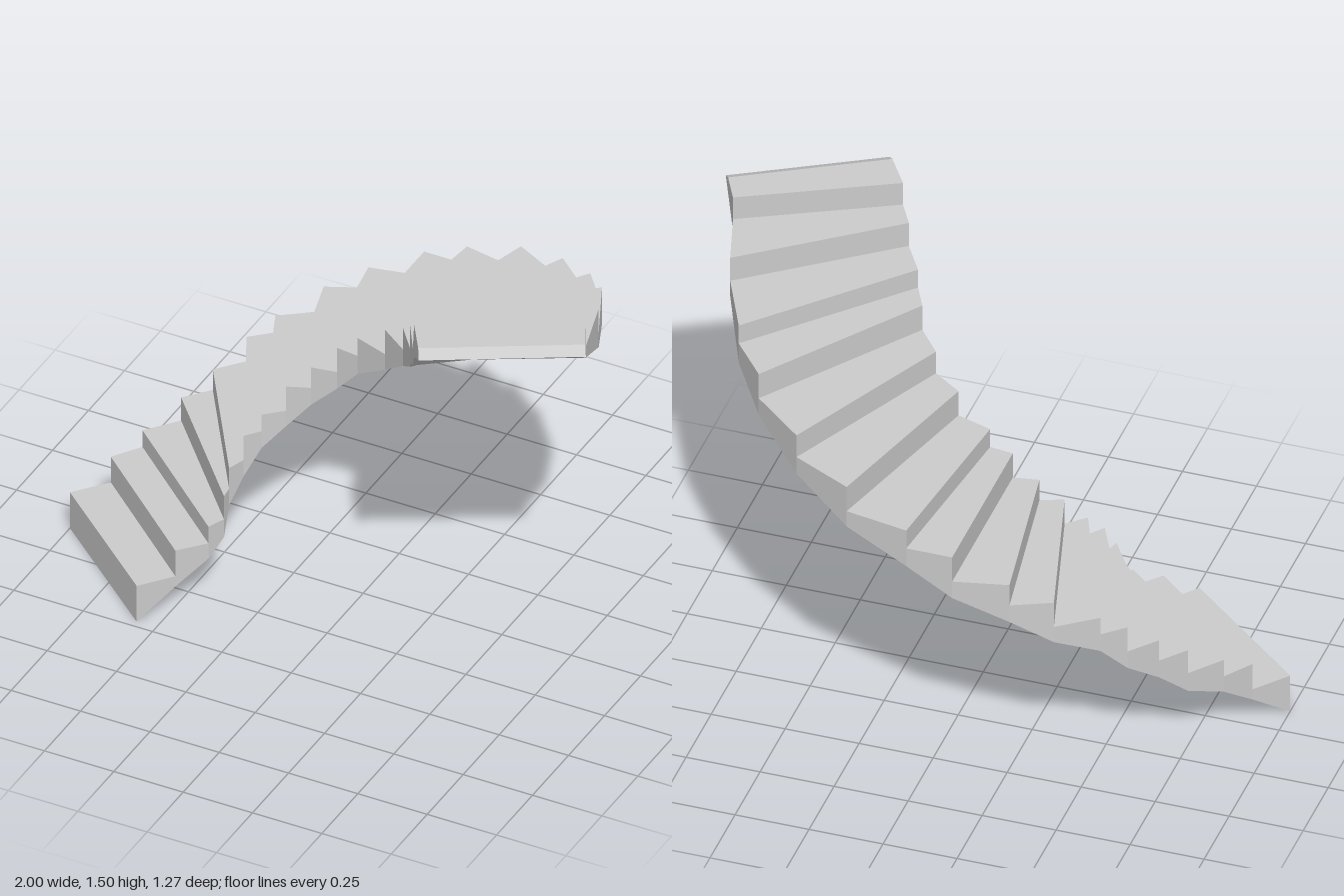
import * as THREE from 'three';

// One row per riser line: outer x, outer z, inner x, inner z, soffit y, tread y
const LINES = [
  [-1, 0.11, -0.57, 0.475, 0, 0.14],
  [-0.91, 0, -0.485, 0.37, 0.10, 0.24],
  [-0.845, -0.095, -0.41, 0.285, 0.18, 0.305],
  [-0.76, -0.20, -0.385, 0.225, 0.235, 0.395],
  [-0.69, -0.285, -0.39, 0.18, 0.33, 0.475],
  [-0.615, -0.375, -0.37, 0.12, 0.41, 0.57],
  [-0.545, -0.44, -0.33, 0.07, 0.505, 0.635],
  [-0.42, -0.535, -0.27, 0.015, 0.575, 0.73],
  [-0.29, -0.595, -0.195, -0.015, 0.665, 0.81],
  [-0.11, -0.635, -0.11, -0.03, 0.745, 0.905],
  [0.045, -0.635, -0.03, -0.02, 0.835, 0.975],
  [0.26, -0.595, 0.09, 0.02, 0.915, 1.07],
  [0.465, -0.49, 0.19, 0.09, 1.005, 1.155],
  [0.645, -0.335, 0.27, 0.19, 1.09, 1.25],
  [0.76, -0.195, 0.315, 0.28, 1.175, 1.32],
  [0.865, 0.03, 0.385, 0.395, 1.26, 1.41],
  [0.925, 0.235, 0.435, 0.485, 1.365, 1.495],
  [0.995, 0.37, 0.53, 0.635, 1.475, 1.495],
];
// The last tread stops short of the soffit, giving a sloped end
const TOP_END = [0.975, 0.335, 0.51, 0.60];

const outer = (line, y) => [line[0], y, line[1]];
const inner = (line, y) => [line[2], y, line[3]];

function quadMesh(name, quads, material) {
  const positions = quads.flatMap(([a, b, c, d]) => [a, b, c, a, c, d].flat());
  const geometry = new THREE.BufferGeometry();
  geometry.setAttribute('position', new THREE.Float32BufferAttribute(positions, 3));
  geometry.computeVertexNormals();
  const mesh = new THREE.Mesh(geometry, material);
  mesh.name = name;
  return mesh;
}

export function createModel() {
  const group = new THREE.Group();
  group.name = 'curvedStaircase';
  const material = new THREE.MeshStandardMaterial({ color: 0xcccccc, flatShading: true });
  const treads = [], risers = [], soffit = [], innerSide = [], outerSide = [];
  const last = LINES.length - 1;

  for (let i = 0; i < last; i++) {
    const a = LINES[i], b = LINES[i + 1];
    const t = i === last - 1 ? TOP_END : b;
    const y = a[5], below = i ? LINES[i - 1][5] : 0;
    treads.push([inner(a, y), inner(t, y), outer(t, y), outer(a, y)]);
    risers.push([outer(a, below), inner(a, below), inner(a, y), outer(a, y)]);
    soffit.push([outer(a, a[4]), outer(b, b[4]), inner(b, b[4]), inner(a, a[4])]);
    innerSide.push([inner(a, a[4]), inner(b, b[4]), inner(t, y), inner(a, y)]);
    outerSide.push([outer(a, y), outer(t, y), outer(b, b[4]), outer(a, a[4])]);
  }

  // Narrow sloped face at the top landing edge
  const e = LINES[last];
  const end = [[inner(e, e[4]), outer(e, e[4]), outer(TOP_END, e[5]), inner(TOP_END, e[5])]];

  const parts = { treads, risers, soffit, innerSide, outerSide, topEnd: end };
  for (const [name, quads] of Object.entries(parts)) group.add(quadMesh(name, quads, material));
  return group;
}
